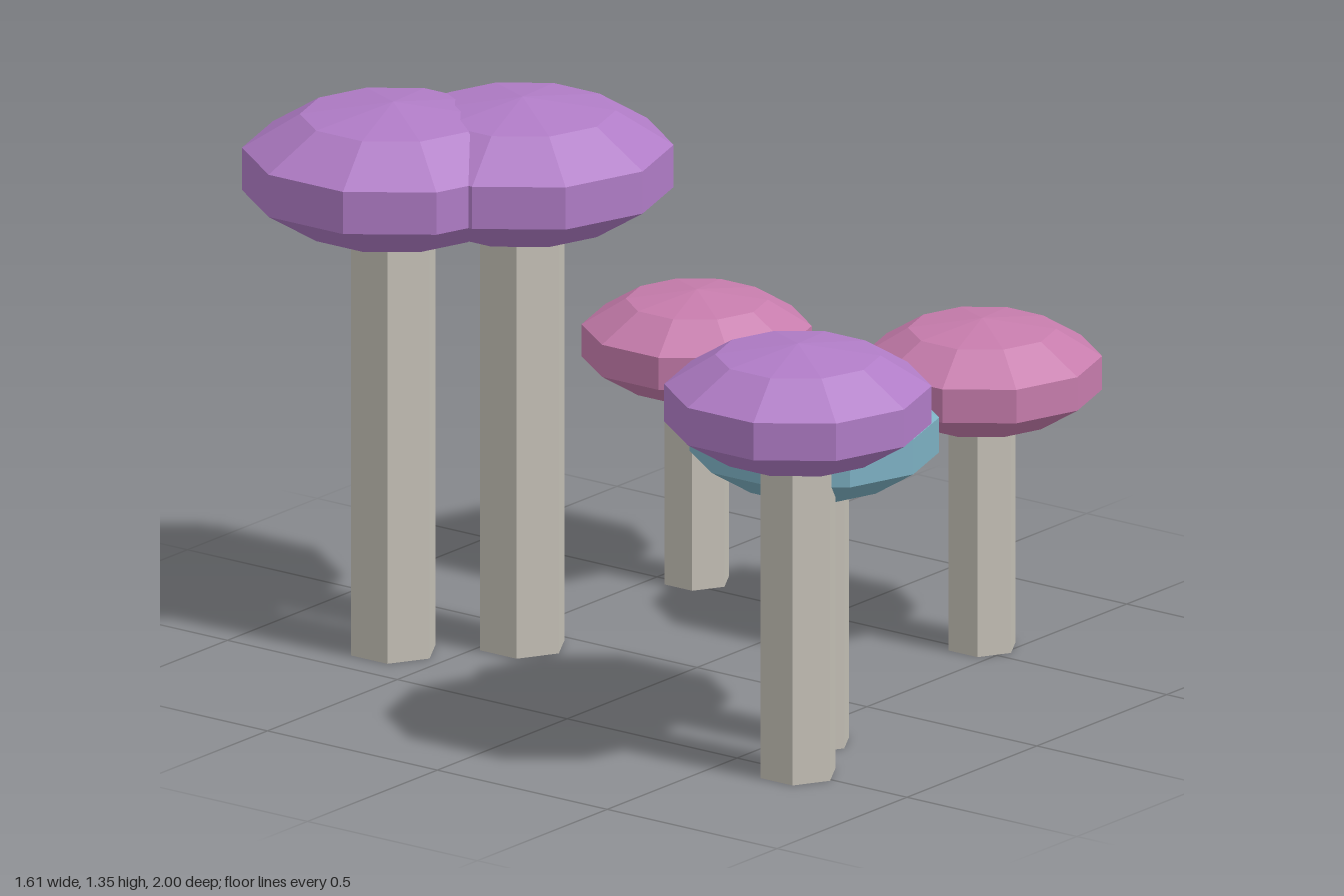
import * as THREE from 'three';

const material = (color) => new THREE.MeshStandardMaterial({ color, flatShading: true });

export function createModel() {
  const model = new THREE.Group();
  model.name = 'mushroomCluster';

  const stemMaterial = material(0xc4c0b6);
  const purple = material(0xb07cc6);
  const teal = material(0x7cb0c2);
  const pink = material(0xc67cac);

  // Squashed ten-sided cap, with a corner facing the front
  const capGeometry = new THREE.SphereGeometry(1, 10, 5).rotateY(Math.PI / 2).scale(1, 0.45, 1);

  // Six-sided stem that ends inside the middle of its cap
  function addMushroom(name, x, z, height, radius, capMaterial) {
    const mushroom = new THREE.Group();
    mushroom.name = name;
    mushroom.position.set(x, 0, z);

    const stemRadius = radius * 0.288;
    const stem = new THREE.Mesh(new THREE.CylinderGeometry(stemRadius, stemRadius, height, 6), stemMaterial);
    stem.name = 'stem';
    stem.position.y = height / 2;

    const cap = new THREE.Mesh(capGeometry, capMaterial);
    cap.name = 'cap';
    cap.position.y = height;
    cap.scale.setScalar(radius);

    mushroom.add(stem, cap);
    model.add(mushroom);
  }

  addMushroom('tallMushroomFront', -0.11, -0.43, 1.178, 0.372, purple);
  addMushroom('tallMushroomBack', -0.325, -0.646, 1.178, 0.372, purple);
  addMushroom('purpleMushroom', -0.508, 0.685, 0.907, 0.329, purple);
  addMushroom('tealMushroom', -0.288, 0.565, 0.754, 0.307, teal);
  addMushroom('pinkMushroomFront', 0.535, 0.43, 0.673, 0.295, pink);
  addMushroom('pinkMushroomBack', 0.535, -0.41, 0.587, 0.283, pink);

  return model;
}
